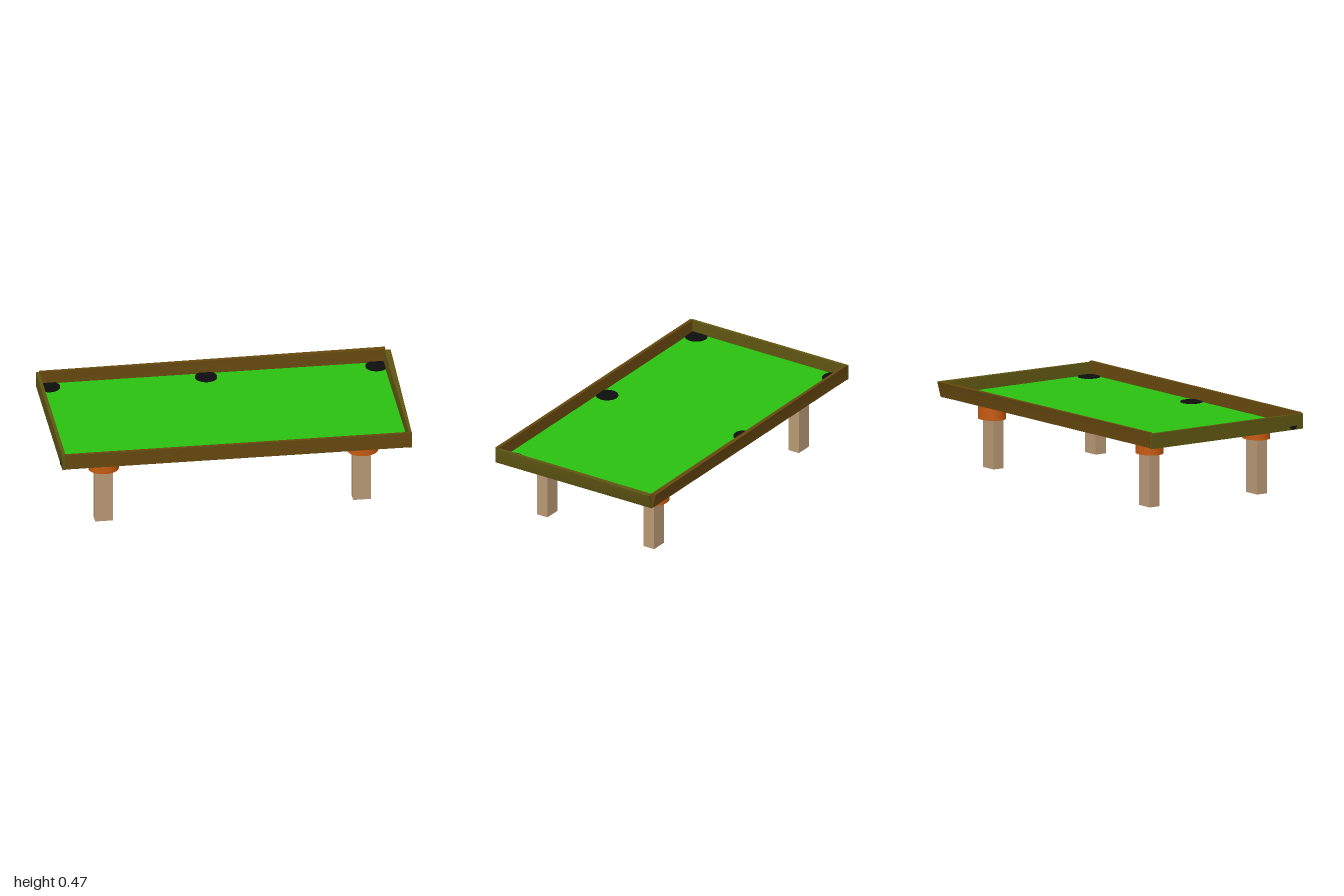
import * as THREE from 'three';

const mat = (color) => new THREE.MeshStandardMaterial({ color, roughness: 0.8, side: THREE.DoubleSide });

export function createModel() {
  const table = new THREE.Group();
  table.name = 'poolTable';

  const felt = mat(0x2ac010);
  const longWood = mat(0x66480f);
  const sideWood = mat(0x5e5512);
  const legWood = mat(0xb99974);
  const collarWood = mat(0xc65a10);
  const black = mat(0x0e0e0e);

  function add(name, geometry, material, parent = table) {
    const mesh = new THREE.Mesh(geometry, material);
    mesh.name = name;
    parent.add(mesh);
    return mesh;
  }

  // Box given by its limits; the optional rule moves individual corners
  function box(name, [x0, x1], [y0, y1], [z0, z1], material, rule, parent) {
    const g = new THREE.BoxGeometry(x1 - x0, y1 - y0, z1 - z0);
    g.translate((x0 + x1) / 2, (y0 + y1) / 2, (z0 + z1) / 2);
    if (rule) {
      const p = g.attributes.position;
      const v = new THREE.Vector3();
      for (let i = 0; i < p.count; i++) {
        rule(v.fromBufferAttribute(p, i));
        p.setXYZ(i, v.x, v.y, v.z);
      }
      g.computeVertexNormals();
    }
    return add(name, g, material, parent);
  }

  // Playing surface
  box('bed', [-0.98, 0.96], [0.39, 0.4], [-0.505, 0.525], felt);

  // Rails; the back and right ones flare outward towards their shared corner
  box('frontRail', [-0.978, 0.967], [0.388, 0.475], [0.518, 0.537], longWood);
  box('backRail', [-0.978, 0.967], [0.388, 0.475], [-0.514, -0.498], longWood, (v) => {
    if (v.x > 0 && v.y > 0.43) v.z -= v.z < -0.506 ? 0.023 : 0.008;
  });
  box('rightRail', [0.953, 0.968], [0.384, 0.47], [-0.506, 0.535], sideWood, (v) => {
    if (v.z < 0 && v.y > 0.43) v.x += v.x > 0.96 ? 0.028 : 0.008;
  });
  box('leftRail', [-0.995, -0.976], [0.384, 0.47], [-0.512, 0.535], sideWood);

  // Pockets: disc on the felt with a ring under the bed
  const pockets = [
    [-0.93, -0.452], [-0.048, -0.45], [0.908, -0.449],
    [-0.938, 0.469], [-0.048, 0.469], [0.902, 0.466],
  ];
  for (const [x, z] of pockets) {
    const pocket = new THREE.Group();
    pocket.name = 'pocket';
    pocket.position.set(x, 0, z);
    table.add(pocket);
    add('pocketDisc', new THREE.CylinderGeometry(0.062, 0.062, 0.009, 32), black, pocket).position.y = 0.401;
    const ring = add('pocketRing', new THREE.TorusGeometry(0.049, 0.013, 10, 32), black, pocket);
    ring.rotation.x = Math.PI / 2;
    ring.scale.z = 0.5;
    ring.position.y = 0.391;
  }

  // Legs with oval collars: leg x, z, foot; collar x, z, bottom, top
  const legs = [
    ['frontRightLeg', -0.747, 0.4, 0, -0.745, 0.398, 0.31, 0.394],
    ['backRightLeg', -0.747, -0.344, 0.01, -0.745, -0.342, 0.307, 0.392],
    ['frontLeftLeg', 0.706, 0.365, 0.012, 0.715, 0.363, 0.3, 0.39],
    ['backLeftLeg', 0.702, -0.346, 0.008, 0.7, -0.357, 0.288, 0.374],
  ];
  for (const [name, x, z, foot, cx, cz, low, high] of legs) {
    const leg = new THREE.Group();
    leg.name = name;
    table.add(leg);
    box('post', [x - 0.05, x + 0.05], [foot, 0.392], [z - 0.035, z + 0.035], legWood, null, leg);
    const collar = add('collar', new THREE.CylinderGeometry(0.085, 0.085, high - low, 40), collarWood, leg);
    collar.scale.z = 0.87;
    collar.position.set(cx, (low + high) / 2, cz);
  }

  return table;
}
